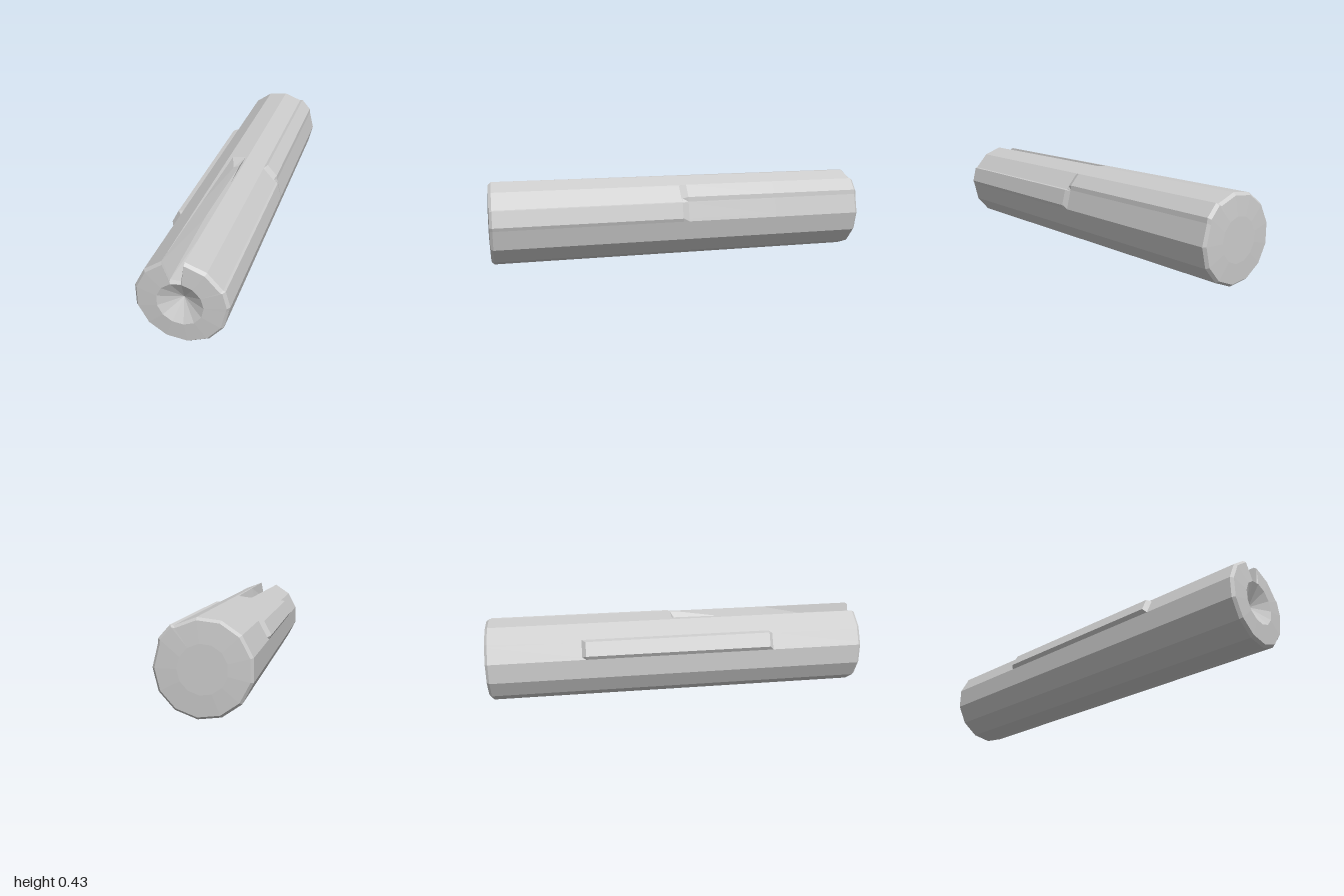
import * as THREE from 'three';

const SIDES = 13, R = 0.217, CY = 0.2165;
const corner = (k, r = R) => {
  const a = (k / SIDES) * Math.PI * 2;
  return new THREE.Vector2(Math.cos(a) * r, Math.sin(a) * r);
};
const ramp = (z, a, b) => THREE.MathUtils.clamp((z - a) / (b - a), 0, 1);

// Raised bark plates: facet index, span along the facet, height, presence along z
const PLATES = {
  0: { t: [0.15, 0.95], h: 0.01, on: z => ramp(z, -0.02, 0.015) },
  1: { t: [0.19, 0.93], h: 0.014, on: z => ramp(z, 0.015, -0.02) },
  5: { t: [0.14, 0.87], h: 0.02, on: z => ramp(Math.abs(z), 0.505, 0.485) },
};
const GROOVE_FACET = 3;

// Cross-section of the log at z, with the nearest polygon corner for each point
function section(z) {
  const pts = [];
  for (let k = 0; k < SIDES; k++) {
    const a = corner(k), b = corner(k + 1);
    pts.push({ p: a, k });
    const plate = PLATES[k];
    if (plate) {
      const out = corner(k + 0.5, plate.h * plate.on(z));
      plate.t.forEach((t, i) => pts.push({ p: a.clone().lerp(b, t).add(out), k: k + i }));
    }
    if (k === GROOVE_FACET) {
      // Tapered groove, open at the front and closing at mid length
      const s = ramp(z, 0.01, 0.98), depth = ramp(z, -0.02, 0.01);
      const rimR = a.clone().lerp(b, 0.1 * (1 - s));
      const rimL = a.clone().lerp(b, 0.8 + 0.2 * s);
      const floorR = new THREE.Vector2(-0.012 + 0.021 * s, 0.39 - 0.06 * s - CY);
      const floorL = new THREE.Vector2(-0.045, 0.375 - 0.047 * s - CY);
      pts.push({ p: rimR, k }, { p: rimR.clone().lerp(floorR, depth), k },
        { p: rimL.clone().lerp(floorL, depth), k: k + 1 }, { p: rimL, k: k + 1 });
    }
  }
  return pts;
}

const ring = (z, atZ, scale) => section(atZ).map(({ p }) =>
  new THREE.Vector3(p.x * scale, p.y * scale + CY, z));
const innerRing = (z, r) => section(z).map(({ k }) => {
  const c = corner(k, r);
  return new THREE.Vector3(c.x, c.y + CY, z);
});

// Skin a list of equal-length loops, ordered front to back
function loft(loops) {
  const pos = [], tri = new THREE.Triangle();
  const add = (a, b, c) => {
    if (tri.set(a, b, c).getArea() > 1e-8) pos.push(...a, ...b, ...c);
  };
  for (let l = 0; l + 1 < loops.length; l++) {
    const A = loops[l], B = loops[l + 1];
    for (let i = 0; i < A.length; i++) {
      const j = (i + 1) % A.length;
      add(A[i], B[i], A[j]);
      add(A[j], B[i], B[j]);
    }
  }
  const geo = new THREE.BufferGeometry();
  geo.setAttribute('position', new THREE.Float32BufferAttribute(pos, 3));
  geo.computeVertexNormals();
  return geo;
}

export function createModel() {
  const group = new THREE.Group();
  group.name = 'log';
  const material = new THREE.MeshStandardMaterial({ color: 0xcccccc, flatShading: true });
  const add = (name, loops) => {
    const mesh = new THREE.Mesh(loft(loops), material);
    mesh.name = name;
    group.add(mesh);
  };
  const F = 0.98;

  // Trunk with plates and groove
  const stations = [F, 0.505, 0.485, 0.015, 0.01, -0.02, -0.485, -0.505, -F];
  add('trunk', stations.map(z => ring(z, z, 1)));

  // Bevelled, slightly domed ends
  add('frontEnd', [innerRing(1, 0.109), ring(0.994, F, 0.945), ring(F, F, 1)]);
  add('backEnd', [ring(-F, -F, 1), ring(-0.994, -F, 0.945), innerRing(-1, 0.109), innerRing(-1, 0)]);

  // Conical hollow in the front end
  add('frontHollow', [innerRing(0.94, 0), innerRing(1, 0.109)]);
  return group;
}
